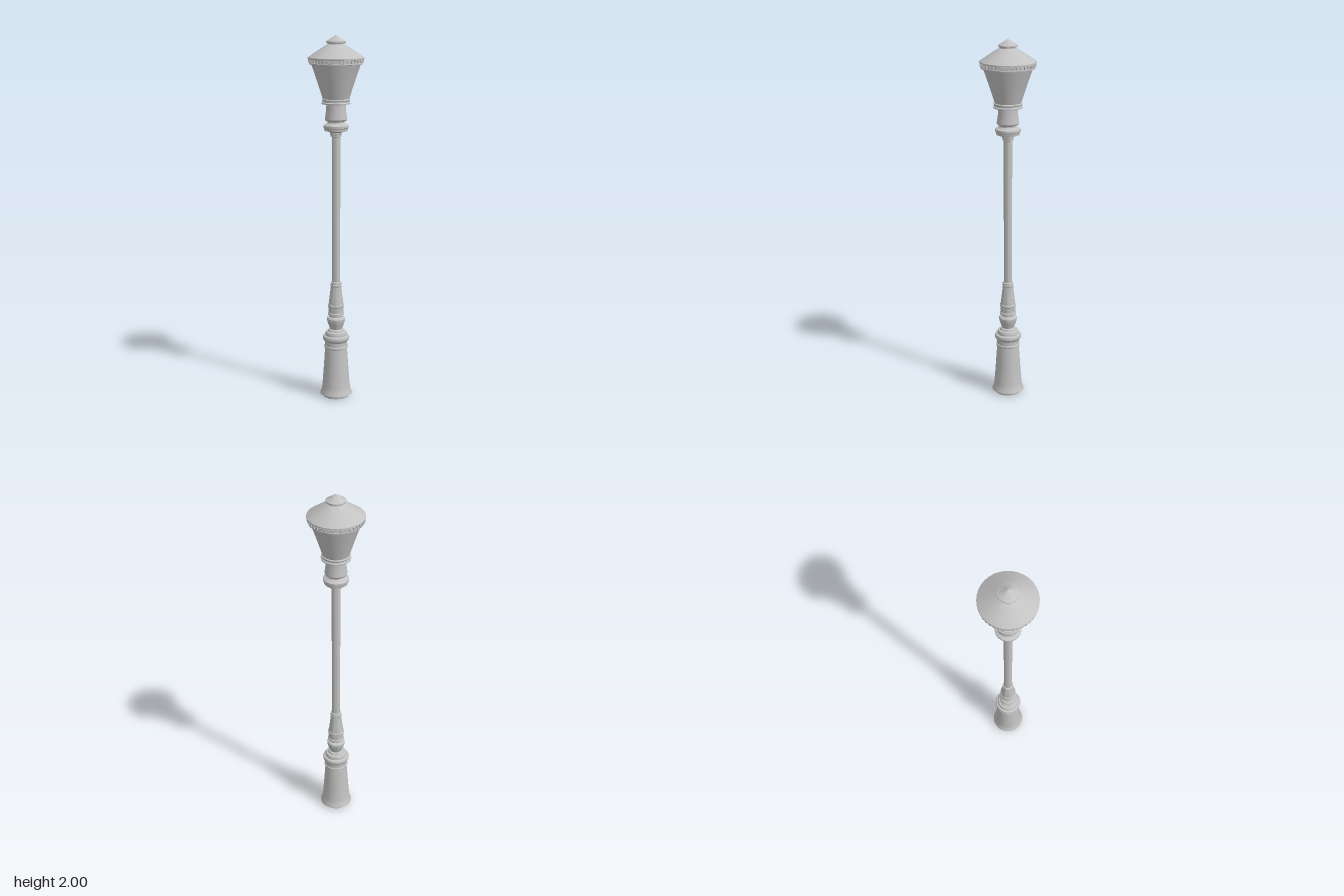
import * as THREE from 'three';
import { toCreasedNormals } from 'three/addons/utils/BufferGeometryUtils.js';

const SEGMENTS = 32;

export function createModel() {
  const group = new THREE.Group();
  const castMetal = new THREE.MeshStandardMaterial({ color: 0xc2c2c2, side: THREE.DoubleSide });
  castMetal.name = 'cast metal grey';

  // Turned part from [radius, height] pairs, listed bottom to top
  function turned(name, profile) {
    const points = profile.map(([r, y]) => new THREE.Vector2(r, y));
    const geometry = toCreasedNormals(new THREE.LatheGeometry(points, SEGMENTS), 0.5);
    const mesh = new THREE.Mesh(geometry, castMetal);
    mesh.name = name;
    group.add(mesh);
  }

  // Hollow flared base, open underneath
  turned('base', [
    [0.073, 0], [0.075, 0.012], [0.089, 0.016], [0.088, 0.022], [0.081, 0.036],
    [0.077, 0.06], [0.07, 0.15], [0.061, 0.28],
  ]);

  // Stacked rings closing the base
  turned('baseRings', [
    [0.061, 0.28], [0.066, 0.284], [0.066, 0.292], [0.062, 0.296], [0.062, 0.318],
    [0.067, 0.322], [0.073, 0.332], [0.074, 0.342], [0.071, 0.35], [0.06, 0.354],
    [0.06, 0.366], [0.056, 0.374], [0.045, 0.377], [0.042, 0.386], [0.034, 0.39],
  ]);

  // Vase-shaped knuckle
  turned('vase', [
    [0.034, 0.39], [0.037, 0.4], [0.045, 0.42], [0.049, 0.435], [0.05, 0.448],
    [0.046, 0.455], [0.036, 0.459], [0.036, 0.468], [0.045, 0.471],
    [0.045, 0.48], [0.041, 0.484],
  ]);

  // Tapered sleeve around the foot of the shaft
  turned('sleeve', [
    [0.041, 0.484], [0.042, 0.516], [0.045, 0.519], [0.045, 0.527], [0.041, 0.53],
    [0.036, 0.57], [0.029, 0.632], [0.031, 0.635], [0.031, 0.642], [0.029, 0.645],
    [0.029, 0.655], [0.023, 0.658],
  ]);

  turned('shaft', [[0.023, 0.655], [0.023, 1.465]]);

  // Collar and ring carrying the lantern
  turned('collar', [
    [0.023, 1.46], [0.029, 1.462], [0.029, 1.472], [0.033, 1.475], [0.033, 1.484],
    [0.045, 1.489], [0.062, 1.493], [0.064, 1.506], [0.068, 1.51], [0.068, 1.522],
    [0.063, 1.526], [0.053, 1.529], [0.046, 1.536], [0.046, 1.543],
  ]);

  turned('neck', [
    [0.046, 1.543], [0.055, 1.546], [0.06, 1.555], [0.057, 1.575], [0.053, 1.605],
    [0.052, 1.634], [0.078, 1.637], [0.079, 1.643], [0.073, 1.647], [0.073, 1.653],
    [0.076, 1.656], [0.076, 1.661], [0.071, 1.664],
  ]);

  turned('lanternBody', [[0.071, 1.664], [0.1, 1.755], [0.131, 1.845]]);

  // Eave band with a recessed groove for the beads
  turned('eave', [
    [0.131, 1.845], [0.143, 1.847], [0.144, 1.853], [0.141, 1.855], [0.141, 1.873],
    [0.15, 1.875], [0.15, 1.882],
  ]);

  // Beads around the eave
  const beads = new THREE.Group();
  beads.name = 'eaveBeads';
  const beadGeometry = new THREE.BoxGeometry(0.013, 0.015, 0.014);
  const count = 40;
  for (let i = 0; i < count; i++) {
    const angle = (i / count) * Math.PI * 2;
    const bead = new THREE.Mesh(beadGeometry, castMetal);
    bead.name = 'eaveBead';
    bead.position.set(Math.sin(angle) * 0.141, 1.864, Math.cos(angle) * 0.141);
    bead.rotation.y = angle;
    beads.add(bead);
  }
  group.add(beads);

  turned('roof', [
    [0.15, 1.882], [0.12, 1.903], [0.08, 1.93], [0.045, 1.952],
  ]);

  turned('finial', [
    [0.045, 1.952], [0.045, 1.957], [0.053, 1.96], [0.053, 1.967],
    [0.035, 1.976], [0.018, 1.988], [0, 2],
  ]);

  return group;
}
